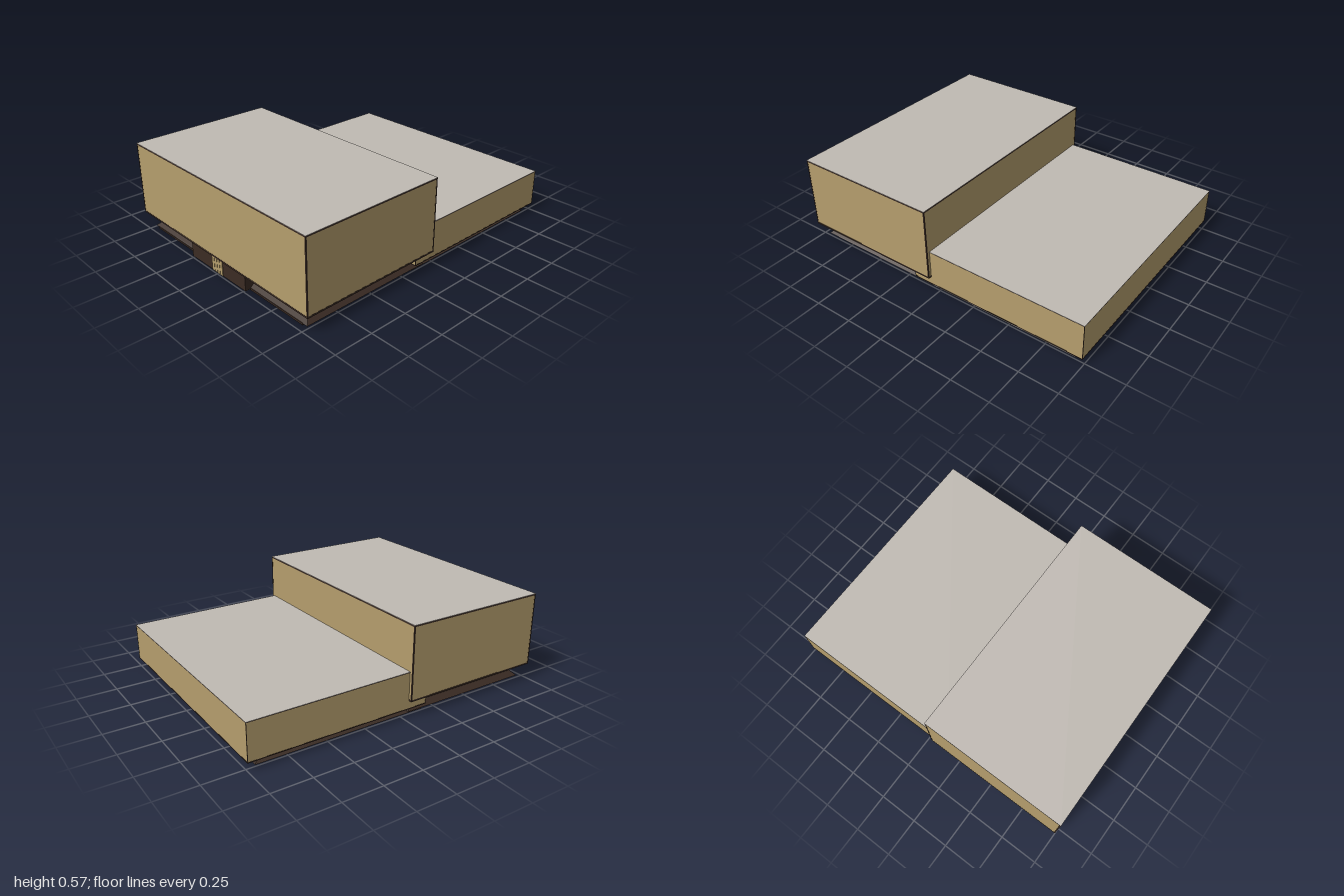
import * as THREE from 'three';

export function createModel() {
  const mat = (name, color) => {
    const m = new THREE.MeshStandardMaterial({ color });
    m.name = name;
    return m;
  };
  const tan = mat('tan wall', 0xb59e6d);
  const dark = mat('dark brown trim', 0x3b2c24);
  const grey = mat('grey roof', 0xc0bab3);

  const model = new THREE.Group();
  model.name = 'building';

  // Box given by its limits on each axis
  function box(parent, name, material, [x0, x1], [y0, y1], [z0, z1]) {
    const mesh = new THREE.Mesh(new THREE.BoxGeometry(x1 - x0, y1 - y0, z1 - z0), material);
    mesh.position.set((x0 + x1) / 2, (y0 + y1) / 2, (z0 + z1) / 2);
    mesh.name = name;
    parent.add(mesh);
    return mesh;
  }

  // Overhanging block: tan sides, grey roof, dark trim along the edges
  function block(name, w, [y0, y1], [z0, z1], t, soffit) {
    const g = new THREE.Group();
    g.name = name;
    const e = 0.002;
    box(g, name + 'Walls', [tan, tan, grey, soffit, tan, tan],
      [-w + e, w - e], [y0, y1 - e], [z0 + e, z1 - e]);
    box(g, name + 'Roof', grey, [-w, w], [y1 - e, y1], [z0, z1]);
    for (const [a, b] of [[y0 - e, y0 + t], [y1 - t - e, y1 - e]]) {
      for (const s of [-1, 1]) {
        const xs = s > 0 ? [w - t, w - e / 2] : [-w + e / 2, -w + t];
        const zs = s > 0 ? [z1 - t, z1 - e / 2] : [z0 + e / 2, z0 + t];
        box(g, 'sideTrim', dark, xs, [a, b], [z0 + e / 2, z1 - e / 2]);
        box(g, 'endTrim', dark, [-w + e / 2, w - e / 2], [a, b], zs);
      }
    }
    for (const xs of [[-w + e / 2, -w + t], [w - t, w - e / 2]])
      for (const zs of [[z0 + e / 2, z0 + t], [z1 - t, z1 - e / 2]])
        box(g, 'cornerTrim', dark, xs, [y0, y1 - e], zs);
    model.add(g);
  }

  // Plinth whose sides flare outwards towards the ground
  function plinth(name, w, [y0, y1], [z0, z1], flare) {
    const mesh = box(model, name, dark, [-w, w], [y0, y1], [z0, z1]);
    const p = mesh.geometry.attributes.position;
    for (let i = 0; i < p.count; i++) {
      if (p.getY(i) > 0) continue;
      p.setX(i, p.getX(i) + Math.sign(p.getX(i)) * flare);
      p.setZ(i, p.getZ(i) + Math.sign(p.getZ(i)) * flare);
    }
    mesh.geometry.computeVertexNormals();
  }

  block('upperBlock', 0.797, [0.104, 0.575], [0.04, 1], 0.009, grey);
  block('rearBlock', 0.775, [0.05, 0.285], [-1, 0.17], 0.004, dark);

  // Recessed ground floor
  box(model, 'frontRecessedWall', tan, [-0.705, 0.705], [0.03, 0.104], [0.1, 0.92]);
  box(model, 'rearRecessedWall', tan, [-0.705, 0.705], [0.01, 0.05], [-0.92, 0.1]);
  plinth('frontPlinth', 0.71, [0.01, 0.042], [0.1, 0.925], 0.034);
  plinth('rearPlinth', 0.72, [0.002, 0.016], [-0.92, 0.15], 0.02);
  box(model, 'basePlate', dark, [-0.71, 0.71], [0, 0.012], [-0.9, 0.96]);

  // Dark frames around the front window bands and wall ends
  for (const s of [-1, 1]) {
    const span = (a, b) => (s > 0 ? [a, b] : [-b, -a]);
    box(model, 'wallPost', dark, span(0.7, 0.708), [0.04, 0.104], [0.9, 0.924]);
    box(model, 'wallHead', dark, span(0.26, 0.708), [0.098, 0.104], [0.915, 0.924]);
  }

  // Entrance portal with a slatted door
  box(model, 'entrancePortal', dark, [-0.262, 0.262], [0.004, 0.104], [0.9, 0.992]);
  const slats = 4, sw = 0.104 / slats;
  for (let i = 0; i < slats; i++) {
    const x = -0.052 + i * sw;
    box(model, 'doorSlat', tan, [x + 0.0015, x + sw - 0.0015], [0.006, 0.102], [0.99, 0.996]);
  }
  return model;
}
